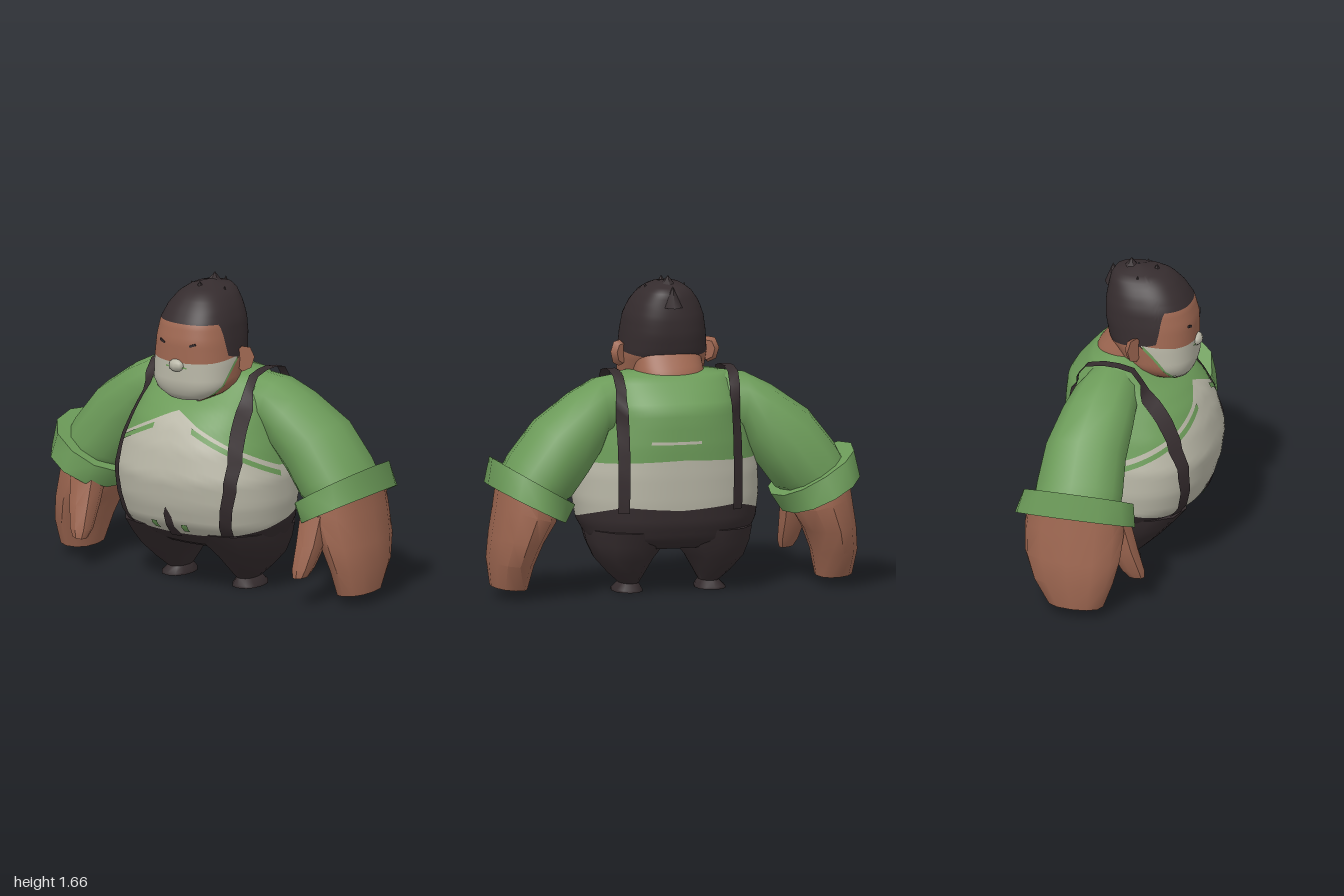
import * as THREE from 'three';
import { toCreasedNormals } from 'three/addons/utils/BufferGeometryUtils.js';

const mat = (name, color, side = THREE.FrontSide) => {
  const m = new THREE.MeshStandardMaterial({ color, side });
  m.name = name;
  return m;
};
const RAD = Math.PI / 180;
const spow = (v, p) => Math.sign(v) * Math.pow(Math.abs(v), p);

// Linear lookup in rows of [key, value, value...]
function lookup(rows, k) {
  if (k <= rows[0][0]) return rows[0];
  for (let i = 1; i < rows.length; i++) {
    const [p, q] = [rows[i - 1], rows[i]];
    if (k <= q[0]) return p.map((v, c) => v + (q[c] - v) * (k - p[0]) / (q[0] - p[0]));
  }
  return rows[rows.length - 1];
}
const curve = (...rows) => a => lookup(rows, Math.abs(a))[1];

// Upright body from rows of [y, halfWidth, zFront, zBack]; angle 0 faces front
function body(rings, n) {
  const at = (a, y) => {
    const [, w, f, b] = lookup(rings, y);
    return new THREE.Vector3(w * spow(Math.sin(a * RAD), 2 / n), y,
      (f + b) / 2 + (f - b) / 2 * spow(Math.cos(a * RAD), 2 / n));
  };
  const normal = (a, y) => {
    const lo = Math.max(y - 0.025, rings[0][0]), hi = Math.min(y + 0.025, rings[rings.length - 1][0]);
    const du = at(a + 4, y).sub(at(a - 4, y));
    return du.cross(at(a, hi).sub(at(a, lo))).normalize();
  };
  const zAt = (x, y, side) => {
    const [, w, f, b] = lookup(rings, y);
    const k = Math.pow(Math.max(0, 1 - Math.pow(Math.min(1, Math.abs(x) / w), n)), 1 / n);
    return (f + b) / 2 + side * (f - b) / 2 * k;
  };
  return { at, normal, zAt };
}

// Piece of a body between two height curves
function patch(b, lo, hi, a0 = -180, a1 = 180, off = 0) {
  const cols = Math.max(4, Math.round((a1 - a0) / 4)), rows = 14, pos = [], nor = [], idx = [];
  for (let j = 0; j <= rows; j++) for (let i = 0; i <= cols; i++) {
    const a = a0 + (a1 - a0) * i / cols, l = lo(a), y = l + Math.max(0, hi(a) - l) * j / rows;
    const n = b.normal(a, y), p = b.at(a, y).addScaledVector(n, off);
    pos.push(p.x, p.y, p.z);
    nor.push(n.x, n.y, n.z);
    if (i < cols && j < rows) {
      const k = j * (cols + 1) + i, m = k + cols + 1;
      idx.push(k, k + 1, m, k + 1, m + 1, m);
    }
  }
  return geometry(pos, idx, nor);
}

function geometry(pos, idx, nor) {
  const g = new THREE.BufferGeometry();
  g.setAttribute('position', new THREE.Float32BufferAttribute(pos, 3));
  g.setIndex(idx);
  if (nor) g.setAttribute('normal', new THREE.Float32BufferAttribute(nor, 3));
  else g.computeVertexNormals();
  return g;
}

// Limb from rows of [outerX, outerY, innerX, innerY, zFront, zBack], s mirrors it
function limb(rings, s, crease = 0.75, sides = 12) {
  const pos = [], idx = [], last = rings.length - 1;
  const tri = (a, b, c) => s > 0 ? idx.push(a, b, c) : idx.push(a, c, b);
  rings.forEach(([ox, oy, ix, iy, f, b], j) => {
    for (let i = 0; i < sides; i++) {
      const t = i / sides * 2 * Math.PI, c = spow(Math.cos(t), 0.9) / 2, d = spow(Math.sin(t), 0.9) / 2;
      pos.push(s * ((ox + ix) / 2 + c * (ox - ix)), (oy + iy) / 2 + c * (oy - iy), (f + b) / 2 + d * (f - b));
      const k = j * sides + i, n = j * sides + (i + 1) % sides;
      if (j < last) { tri(k, n, k + sides); tri(n, n + sides, k + sides); }
    }
  });
  [0, last].forEach(j => {
    const [ox, oy, ix, iy, f, b] = rings[j], c = pos.length / 3;
    pos.push(s * (ox + ix) / 2, (oy + iy) / 2, (f + b) / 2);
    for (let i = 0; i < sides; i++) {
      const k = j * sides + i, n = j * sides + (i + 1) % sides;
      j ? tri(k, n, c) : tri(n, k, c);
    }
  });
  return toCreasedNormals(geometry(pos, idx), crease);
}

export function createModel() {
  const root = new THREE.Group();
  root.name = 'stoutMan';
  const green = mat('greenShirt', 0x6c9b59), white = mat('paleGrey', 0xb9b7a7);
  const skin = mat('skin', 0x9e6751), dark = mat('darkCloth', 0x352c2e);
  const strapDark = mat('strapDark', 0x352c2e, THREE.DoubleSide);
  const add = (name, geo, m) => {
    const mesh = new THREE.Mesh(geo, m);
    mesh.name = name;
    root.add(mesh);
    return mesh;
  };

  // Torso: trousers, pale belly, green top
  const torso = body([[0.225, 0.02, 0.02, -0.05], [0.235, 0.3, 0.2, -0.22], [0.29, 0.43, 0.29, -0.3],
    [0.38, 0.475, 0.385, -0.34], [0.5, 0.492, 0.425, -0.355], [0.64, 0.488, 0.445, -0.365],
    [0.8, 0.445, 0.41, -0.37], [0.92, 0.4, 0.355, -0.365], [1, 0.375, 0.285, -0.355],
    [1.08, 0.345, 0.18, -0.29], [1.15, 0.315, 0.09, -0.225], [1.18, 0.22, 0.05, -0.18], [1.19, 0.01, -0.06, -0.07]], 2.3);
  const waist = curve([0, 0.325], [40, 0.335], [70, 0.37], [90, 0.4], [145, 0.48], [180, 0.46]);
  const chest = curve([0, 0.985], [18, 0.92], [42, 0.84], [60, 0.79], [90, 0.7], [130, 0.71], [180, 0.73]);
  add('trouserSeat', patch(torso, () => 0.225, waist), dark);
  add('belly', patch(torso, waist, chest), white);
  add('shirt', patch(torso, chest, () => 1.19), green);
  const fold = curve([14, 0.885], [30, 0.83], [60, 0.735], [88, 0.65]);
  [[14, 88], [-88, -14]].forEach(([a, b]) =>
    add('shirtFold', patch(torso, fold, x => fold(x) + 0.028, a, b, 0.004), green));
  add('backStreak', patch(torso, () => 0.815, () => 0.83, 160, 190, 0.004), white);
  add('fly', patch(torso, () => 0.31, curve([0, 0.49], [2, 0.43], [3, 0.32]), -3, 3, 0.005), dark);
  [-9, 9].forEach(a => add('button', patch(torso, () => 0.352, () => 0.395, a - 2, a + 2, 0.004), green));

  // Face, beard and hair share one head form
  const head = body([[1.025, 0.01, 0.2, 0.18], [1.035, 0.1, 0.28, 0.1], [1.08, 0.19, 0.31, 0.02],
    [1.13, 0.225, 0.325, -0.06], [1.25, 0.23, 0.325, -0.14], [1.36, 0.22, 0.323, -0.162],
    [1.45, 0.206, 0.3, -0.162], [1.52, 0.178, 0.255, -0.15], [1.58, 0.135, 0.2, -0.138],
    [1.62, 0.08, 0.13, -0.11], [1.635, 0.005, 0.01, 0]], 2.4);
  const hairline = curve([0, 1.455], [62, 1.455], [70, 1.38], [75, 1.285], [90, 1.265], [180, 1.23]);
  const beardTop = curve([0, 1.25], [50, 1.255], [90, 1.27]);
  const beardBase = curve([0, 1.025], [55, 1.03], [70, 1.1], [84, 1.2], [92, 1.268]);
  add('face', patch(head, beardTop, hairline, -96, 96), skin);
  add('jaw', patch(head, () => 1.025, a => Math.min(beardBase(a), hairline(a))), skin);
  add('beard', patch(head, beardBase, beardTop, -92, 92), white);
  add('hair', patch(head, hairline, () => 1.635), dark);
  [[58, 90], [-90, -58]].forEach(([a, b]) =>
    add('beardEdge', patch(head, beardBase, x => Math.min(beardBase(x) + 0.03, beardTop(x)), a, b, 0.003), green));
  [[5, 13], [-13, -5]].forEach(([a, b]) =>
    add('moustacheLine', patch(head, () => 1.222, () => 1.23, a, b, 0.003), green));

  // Hair spikes: tip x, y, z and base radius
  [[0, 1.665, -0.035, 0.09], [0, 1.645, 0.11, 0.07], [0.108, 1.615, 0.03, 0.05],
    [-0.108, 1.615, 0.03, 0.05], [0, 1.62, -0.14, 0.055]].forEach(([x, y, z, r]) => {
    const spike = add('hairSpike', new THREE.ConeGeometry(r, 0.11, 6), dark);
    spike.position.set(x * 0.93, y - 0.055, z * 0.93);
    spike.rotation.set(z * 0.6, 0, -x * 0.9);
  });

  const nose = add('nose', new THREE.SphereGeometry(1, 8, 6), white);
  nose.scale.set(0.047, 0.035, 0.032);
  nose.position.set(0, 1.235, 0.322);

  // Neck
  add('neck', patch(body([[1.06, 0.2, 0.14, -0.24], [1.17, 0.185, 0.13, -0.205], [1.27, 0.17, 0.1, -0.135]], 2.2),
    () => 1.06, () => 1.27), skin);

  // Mirrored parts
  for (const s of [1, -1]) {
    const side = s > 0 ? 'left' : 'right';

    const eye = add(side + 'Eye', new THREE.BoxGeometry(0.036, 0.012, 0.008), dark);
    eye.position.set(s * 0.095, 1.352, head.zAt(0.095, 1.352, 1) + 0.001);
    eye.rotation.set(0, s * 0.2, s * 0.35);

    const ear = add(side + 'Ear', new THREE.CylinderGeometry(0.06, 0.045, 0.035, 7).rotateX(Math.PI / 2), skin);
    ear.scale.set(0.9, 1.2, 1);
    ear.position.set(s * 0.24, 1.25, 0.04);
    ear.rotation.set(0, s * 0.55, -s * 0.12);

    add(side + 'Sleeve', limb([[0.26, 1.165, 0.26, 0.8, 0.08, -0.22], [0.4, 1.145, 0.36, 0.83, 0.1, -0.25],
      [0.54, 1.075, 0.4, 0.75, 0.105, -0.29], [0.74, 0.935, 0.47, 0.65, 0.105, -0.335],
      [0.88, 0.755, 0.56, 0.53, 0.12, -0.35], [0.93, 0.66, 0.62, 0.5, 0.12, -0.35]], s, 1.2), green);
    add(side + 'Cuff', limb([[0.9, 0.7, 0.6, 0.52, 0.1, -0.33], [0.975, 0.745, 0.54, 0.49, 0.19, -0.41],
      [1, 0.605, 0.6, 0.4, 0.21, -0.445], [0.94, 0.58, 0.67, 0.45, 0.13, -0.37]], s), green);
    add(side + 'Hand', limb([[0.94, 0.61, 0.65, 0.47, 0.14, -0.38], [0.955, 0.5, 0.65, 0.41, 0.15, -0.39],
      [0.98, 0.33, 0.72, 0.3, 0.14, -0.375], [0.993, 0.2, 0.765, 0.18, 0.11, -0.325],
      [0.975, 0.06, 0.79, 0.045, 0.06, -0.24]], s), skin);
    add(side + 'Thumb', limb([[0.82, 0.5, 0.64, 0.46, 0.17, -0.02], [0.8, 0.34, 0.645, 0.32, 0.205, 0.04],
      [0.765, 0.21, 0.65, 0.2, 0.235, 0.11], [0.74, 0.165, 0.665, 0.155, 0.235, 0.15]], s, 0.75, 8), skin);

    // Trouser leg and shoe
    add(side + 'Leg', limb([[0.45, 0.34, 0, 0.34, 0.33, -0.31], [0.435, 0.26, 0.025, 0.26, 0.265, -0.28],
      [0.4, 0.18, 0.09, 0.18, 0.19, -0.24], [0.33, 0.1, 0.135, 0.1, 0.11, -0.175],
      [0.27, 0.045, 0.165, 0.045, 0.05, -0.12], [0.305, 0.012, 0.145, 0.012, 0.08, -0.15],
      [0.305, 0, 0.145, 0, 0.08, -0.15]], s, 1), dark);

    // Brace laid over belly, shoulder and back
    const pos = [], idx = [], half = 0.028;
    const path = [];
    const width = [[0.3, 0.295], [0.45, 0.325], [0.6, 0.355], [0.75, 0.36], [0.9, 0.335], [1.05, 0.312], [1.1, 0.31]];
    for (let y = 0.3; y <= 1.101; y += 0.05) path.push([lookup(width, y)[1], y, 1]);
    [[1.165, 0.06], [1.182, -0.02], [1.184, -0.1], [1.165, -0.19]].forEach(([y, z]) => path.push([0.312, y, 0, z]));
    for (let y = 1.1; y >= 0.44; y -= 0.05) path.push([0.305, y, -1]);
    path.forEach(([x, y, face, z], j) => {
      for (const e of [-half, half]) {
        let d = z;
        if (face) d = torso.zAt(x + e, y, face) + face * 0.012;
        if (face > 0 && y > 1) d = Math.max(d, 0.11);
        if (face < 0 && y > 0.95) d = Math.min(d, -0.24);
        pos.push(s * (x + e + (face ? 0.004 : 0)), y, d);
      }
      if (j) {
        const k = j * 2;
        s > 0 ? idx.push(k - 2, k - 1, k, k - 1, k + 1, k) : idx.push(k - 2, k, k - 1, k - 1, k, k + 1);
      }
    });
    add(side + 'Brace', geometry(pos, idx), strapDark);
  }
  return root;
}
